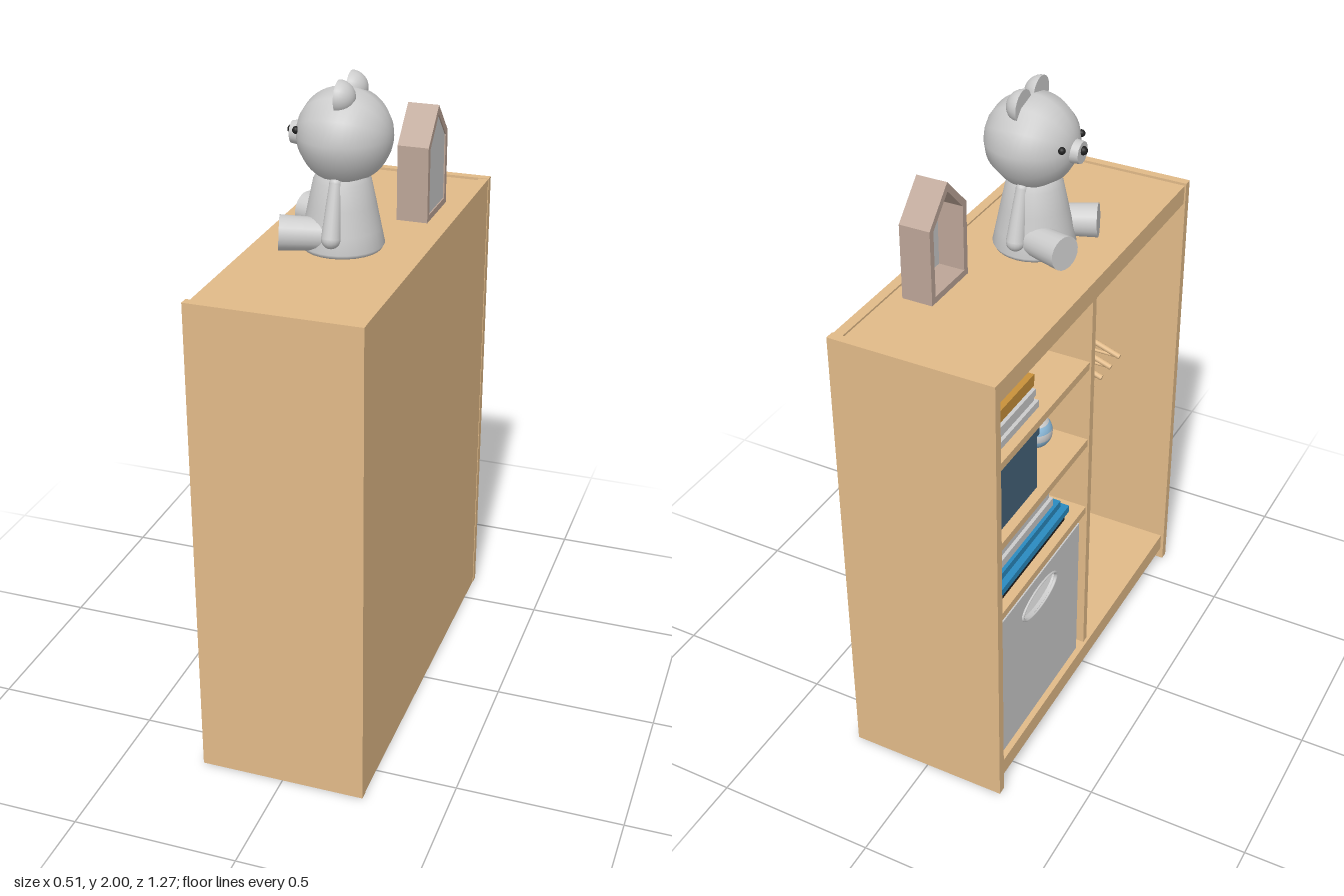
import * as THREE from 'three';

const mat = (color) => new THREE.MeshStandardMaterial({ color });
const GREY = mat(0xcccccc), WOOD = mat(0xe1ba88), TAUPE = mat(0xbca597), DARK = mat(0x222222);
const NAVY = mat(0x45637a), BLUE = mat(0x2a8ac0), GOLD = mat(0xc8913a), SKY = mat(0x8ab8d8);

function add(parent, name, geometry, material, x = 0, y = 0, z = 0) {
  const mesh = new THREE.Mesh(geometry, material);
  mesh.name = name;
  mesh.position.set(x, y, z);
  parent.add(mesh);
  return mesh;
}

// box given by its limits on each axis
function box(parent, name, material, [x0, x1], [y0, y1], [z0, z1]) {
  return add(parent, name, new THREE.BoxGeometry(x1 - x0, y1 - y0, z1 - z0), material,
    (x0 + x1) / 2, (y0 + y1) / 2, (z0 + z1) / 2);
}

// outline drawn in (z, y), extruded from xBack towards -x
function slab(parent, name, material, shape, depth, xBack) {
  const g = new THREE.ExtrudeGeometry(shape, { depth, bevelEnabled: false, curveSegments: 24 });
  return add(parent, name, g.rotateY(-Math.PI / 2), material, xBack);
}

// tapered round limb between two points
function limb(parent, name, material, a, b, ra, rb, sides = 20) {
  const from = new THREE.Vector3(...a), to = new THREE.Vector3(...b);
  const dir = to.clone().sub(from);
  const mesh = add(parent, name, new THREE.CylinderGeometry(rb, ra, dir.length(), sides), material);
  mesh.position.copy(from).add(to).multiplyScalar(0.5);
  mesh.quaternion.setFromUnitVectors(new THREE.Vector3(0, 1, 0), dir.normalize());
  return mesh;
}

function buildCabinet() {
  const g = new THREE.Group();
  g.name = 'cabinet';
  for (const s of [-1, 1]) {
    box(g, 'sidePanel', WOOD, [-0.255, 0.252], [0, 1.51], s < 0 ? [-0.635, -0.608] : [0.608, 0.635]);
  }
  box(g, 'backPanel', WOOD, [0.22, 0.25], [0, 1.508], [-0.608, 0.608]);
  box(g, 'topPanel', WOOD, [-0.25, 0.22], [1.475, 1.502], [-0.608, 0.608]);
  box(g, 'topRail', WOOD, [-0.25, -0.225], [1.44, 1.475], [-0.608, 0.608]);
  box(g, 'bottomPanel', WOOD, [-0.24, 0.22], [0.07, 0.1], [-0.608, 0.608]);
  box(g, 'bottomRail', WOOD, [-0.245, -0.22], [0.04, 0.1], [-0.608, 0.608]);
  box(g, 'divider', WOOD, [-0.235, 0.22], [0.03, 1.475], [-0.012, 0.012]);
  for (const y of [0.67, 0.93, 1.21]) {
    box(g, 'shelf', WOOD, [-0.23, 0.22], [y - 0.025, y], [-0.608, -0.012]);
  }
  return g;
}

function buildHangers() {
  const g = new THREE.Group();
  g.name = 'hangingRail';
  limb(g, 'rod', WOOD, [-0.03, 1.16, 0.012], [-0.03, 1.16, 0.608], 0.018, 0.018);
  for (const z of [0.08, 0.145, 0.21, 0.275]) {
    // hook around the rod, then sloping arms and a lower bar
    const hook = add(g, 'hangerHook', new THREE.TorusGeometry(0.023, 0.004, 6, 16, Math.PI * 1.4), GREY, -0.03, 1.16, z);
    hook.rotation.z = -Math.PI / 2;
    limb(g, 'hangerNeck', GREY, [-0.03, 1.137, z], [-0.03, 1.105, z], 0.004, 0.004, 8);
    for (const s of [-1, 1]) {
      limb(g, 'hangerArm', WOOD, [-0.03, 1.11, z], [-0.03 + s * 0.17, 1.05, z], 0.009, 0.009, 10);
    }
    limb(g, 'hangerBar', WOOD, [-0.2, 1.05, z], [0.14, 1.05, z], 0.005, 0.005, 8);
  }
  return g;
}

function buildShelfItems() {
  const g = new THREE.Group();
  g.name = 'shelfItems';
  // each book: material, thickness, depth range, width range
  const stack = (y, books) => {
    for (const [m, t, xs, zs] of books) {
      box(g, 'book', m, xs, [y, y + t - 0.002], zs);
      y += t;
    }
  };
  stack(1.21, [
    [GREY, 0.025, [-0.2, 0.05], [-0.59, -0.28]],
    [GREY, 0.025, [-0.19, 0.05], [-0.58, -0.29]],
    [GREY, 0.025, [-0.2, 0.04], [-0.59, -0.3]],
    [GOLD, 0.04, [-0.19, 0.05], [-0.58, -0.29]],
  ]);
  stack(0.67, [
    [DARK, 0.03, [-0.2, 0.1], [-0.57, -0.1]],
    [BLUE, 0.025, [-0.21, 0.09], [-0.56, -0.09]],
    [BLUE, 0.025, [-0.19, 0.09], [-0.55, -0.11]],
    [GREY, 0.03, [-0.18, 0.06], [-0.5, -0.14]],
    [GREY, 0.03, [-0.17, 0.05], [-0.48, -0.15]],
  ]);
  box(g, 'storageBox', NAVY, [-0.2, 0.14], [0.93, 1.12], [-0.59, -0.29]);
  box(g, 'storageBoxLid', NAVY, [-0.205, 0.145], [1.12, 1.16], [-0.595, -0.285]);
  // ball made of alternating bands
  for (let i = 0; i < 7; i++) {
    add(g, 'ballBand', new THREE.SphereGeometry(0.055, 24, 4, 0, Math.PI * 2, i * Math.PI / 7, Math.PI / 7),
      i % 2 ? GREY : SKY, -0.1, 0.985, -0.11);
  }
  return g;
}

function buildBin() {
  const g = new THREE.Group();
  g.name = 'bin';
  const front = new THREE.Shape([[-0.59, 0.102], [-0.05, 0.102], [-0.05, 0.63], [-0.59, 0.63]].map(p => new THREE.Vector2(...p)));
  front.holes.push(new THREE.Path().absellipse(-0.32, 0.545, 0.11, 0.04, 0, Math.PI * 2, true));
  slab(g, 'binFront', GREY, front, 0.012, -0.215);
  box(g, 'binBack', GREY, [0.188, 0.2], [0.102, 0.63], [-0.59, -0.05]);
  box(g, 'binBase', GREY, [-0.215, 0.188], [0.102, 0.114], [-0.59, -0.05]);
  for (const z of [-0.59, -0.062]) box(g, 'binSide', GREY, [-0.215, 0.188], [0.114, 0.63], [z, z + 0.012]);
  const rim = add(g, 'binHandleRim', new THREE.TorusGeometry(0.11, 0.006, 8, 32), GREY, -0.227, 0.545, -0.32);
  rim.rotation.y = Math.PI / 2;
  rim.scale.y = 0.4;
  return g;
}

function buildHouse() {
  const g = new THREE.Group();
  g.name = 'toyHouse';
  // gabled outline, inset by t
  const outline = (t) => [[-0.365 + t, 1.505 + t], [-0.165 - t, 1.505 + t], [-0.165 - t, 1.735 - t * 0.4],
    [-0.265, 1.838 - t * 1.4], [-0.365 + t, 1.735 - t * 0.4]].map(p => new THREE.Vector2(...p));
  const frame = new THREE.Shape(outline(0));
  frame.holes.push(new THREE.Path(outline(0.02).reverse()));
  slab(g, 'houseFrame', TAUPE, frame, 0.095, 0.18);
  slab(g, 'houseBack', GREY, new THREE.Shape(outline(0.019)), 0.01, 0.176);
  return g;
}

function buildBear() {
  const g = new THREE.Group();
  g.name = 'teddyBear';
  const profile = [[0, 0], [0.115, 0], [0.122, 0.012], [0.112, 0.06], [0.098, 0.13], [0.083, 0.2], [0.06, 0.24], [0, 0.25]];
  add(g, 'body', new THREE.LatheGeometry(profile.map(p => new THREE.Vector2(...p)), 28), GREY, 0, 1.503, 0);
  add(g, 'head', new THREE.SphereGeometry(0.137, 12, 24).rotateZ(Math.PI / 2), GREY, 0.008, 1.833, 0);
  limb(g, 'muzzle', GREY, [-0.1, 1.825, 0], [-0.148, 1.825, 0], 0.038, 0.032);
  add(g, 'nose', new THREE.SphereGeometry(0.013, 14, 10), DARK, -0.15, 1.832, 0);
  for (const s of [-1, 1]) {
    add(g, 'eye', new THREE.SphereGeometry(0.011, 14, 10), DARK, -0.114, 1.85, s * 0.062);
    // half-dome ear, flat side forward
    const ear = new THREE.Group();
    ear.name = 'ear';
    ear.position.set(0.008, 1.952, s * 0.054);
    add(ear, 'earDome', new THREE.SphereGeometry(0.048, 20, 10, 0, Math.PI * 2, 0, Math.PI / 2).rotateZ(-Math.PI / 2), GREY);
    add(ear, 'earFace', new THREE.CircleGeometry(0.048, 20).rotateY(-Math.PI / 2), GREY);
    g.add(ear);
    limb(g, 'arm', GREY, [0.004, 1.71, s * 0.07], [0.004, 1.56, s * 0.11], 0.018, 0.028);
    add(g, 'shoulder', new THREE.SphereGeometry(0.018, 14, 10), GREY, 0.004, 1.71, s * 0.07);
    add(g, 'hand', new THREE.SphereGeometry(0.028, 16, 12), GREY, 0.004, 1.56, s * 0.11);
    limb(g, 'leg', GREY, [-0.01, 1.555, s * 0.06], [-0.152, 1.562, s * 0.11], 0.046, 0.051);
  }
  g.position.z = 0.08;
  return g;
}

export function createModel() {
  const model = new THREE.Group();
  model.name = 'openWardrobe';
  model.add(buildCabinet(), buildHangers(), buildShelfItems(), buildBin(), buildHouse(), buildBear());
  return model;
}
